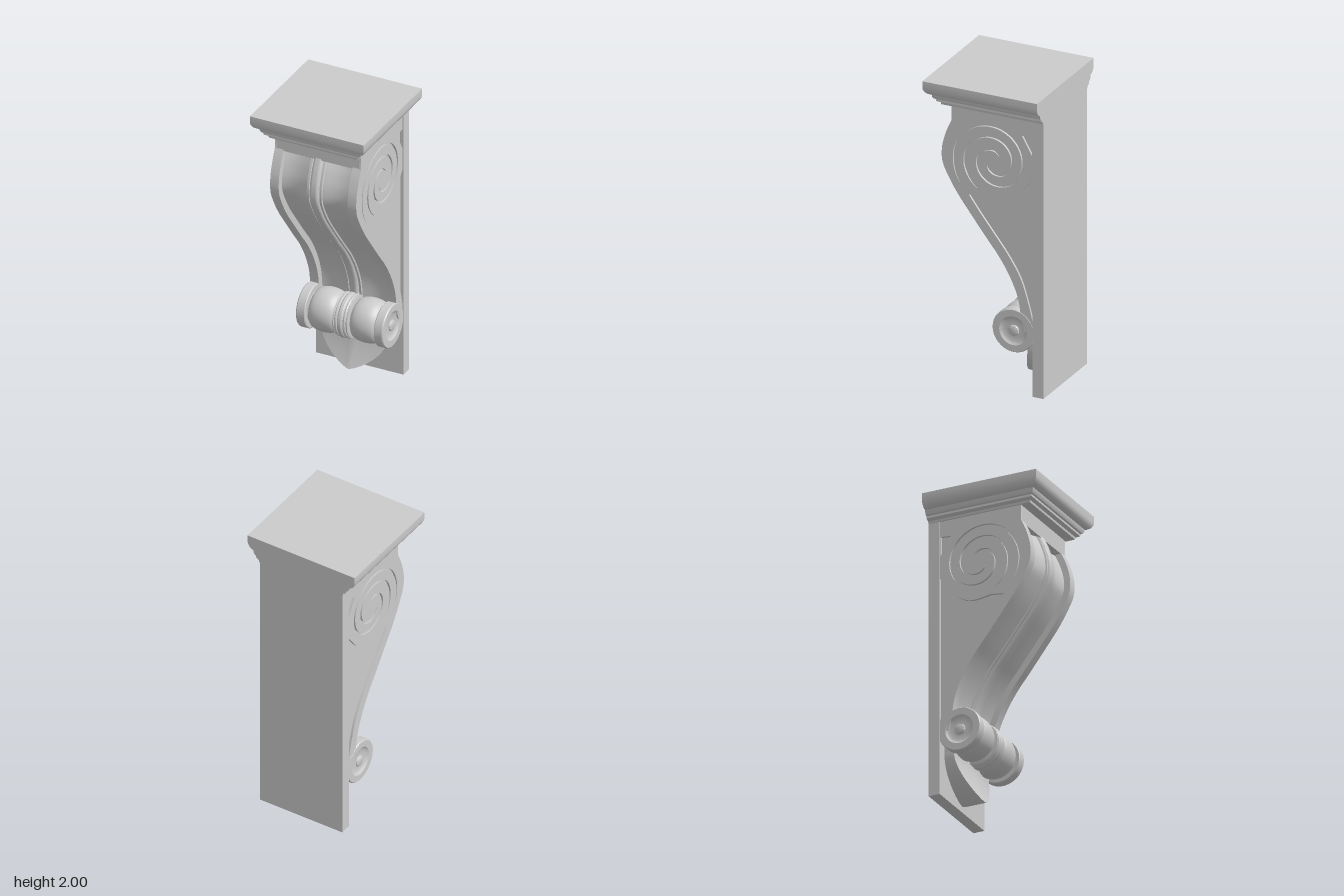
import * as THREE from 'three';
import { toCreasedNormals } from 'three/addons/utils/BufferGeometryUtils.js';

const material = new THREE.MeshStandardMaterial({ color: 0xcccccc });
const BACK = -0.32;

function addMesh(group, name, geometry, crease = 0.6) {
  const mesh = new THREE.Mesh(toCreasedNormals(geometry, crease), material);
  mesh.name = name;
  group.add(mesh);
  return mesh;
}

// Skin through rows of [x, y, z] points; rows run downward, points run from -x to +x
function loft(rows) {
  const n = rows[0].length, index = [];
  for (let i = 0; i < rows.length - 1; i++) {
    for (let j = 0; j < n - 1; j++) {
      const a = i * n + j, b = a + n;
      index.push(a, b, b + 1, a, b + 1, a + 1);
    }
  }
  const geometry = new THREE.BufferGeometry();
  geometry.setAttribute('position', new THREE.Float32BufferAttribute(rows.flat(2), 3));
  geometry.setIndex(index);
  return geometry;
}

const v2 = ([a, b]) => new THREE.Vector2(a, b);
const spline = (points, n) => new THREE.SplineCurve(points.map(v2)).getPoints(n);

// S-shaped front edge in (z, y)
const frontCurve = new THREE.SplineCurve([
  [0.24, 1.73], [0.275, 1.65], [0.302, 1.55], [0.3, 1.45], [0.255, 1.35], [0.19, 1.245],
  [0.1, 1.125], [0, 0.995], [-0.09, 0.88], [-0.165, 0.755], [-0.215, 0.63], [-0.235, 0.5],
].map(v2));

// Depth of the front across x: flat borders, hollow panels, central bead
function frontDepth(x) {
  const a = Math.abs(x);
  if (a >= 0.236) return 0;
  if (a <= 0.03) return -0.012 + 0.015 * Math.sqrt(1 - (a / 0.03) ** 2);
  if (a <= 0.034) return -0.026;
  if (a <= 0.05) return -0.012;
  const t = (a - 0.052) / 0.183;
  return -0.022 - 0.026 * Math.sin(Math.PI * Math.min(1, Math.max(0, t)) * 0.75);
}

function bodyGeometry() {
  const half = [0, 0.01, 0.02, 0.027, 0.03, 0.034, 0.036, 0.05, 0.053, 0.08, 0.11, 0.14, 0.17, 0.2, 0.22, 0.234, 0.236, 0.28];
  const xs = [...half.slice(1).reverse().map((x) => -x), ...half];
  const rows = [];
  for (let i = 0; i <= 60; i++) {
    const p = frontCurve.getPoint(i / 60), t = frontCurve.getTangent(i / 60);
    const row = xs.map((x) => {
      const d = frontDepth(x);
      return [x, p.y + t.x * d, p.x - t.y * d];
    });
    rows.push([[-0.28, p.y, BACK], ...row, [0.28, p.y, BACK]]);
  }
  return loft(rows);
}

// Narrow tapered spiral slot, angles in degrees
function spiralSlot(from, to, r0, slope) {
  const inner = [], outer = [], steps = 70;
  for (let i = 0; i <= steps; i++) {
    const deg = from + ((to - from) * i) / steps, a = THREE.MathUtils.degToRad(deg);
    const r = r0 - slope * deg;
    const w = 0.001 + 0.006 * Math.min(1, 8 * Math.min(i, steps - i) / steps);
    const at = (q) => new THREE.Vector2(-0.05 + q * Math.cos(a), 1.51 + q * Math.sin(a));
    outer.push(at(r + w));
    inner.push(at(r - w));
  }
  return new THREE.Path([...outer, ...inner.reverse()]);
}

// Side facing with scroll slots, corner triangle and sunken lower panel
function sideGeometry() {
  const shape = new THREE.Shape([
    v2([0.24, 1.835]),
    ...frontCurve.getPoints(60),
    v2([-0.26, 0.42]), v2([-0.318, 0.42]),
    ...spline([[-0.314, 0.49], [-0.287, 0.6], [-0.235, 0.76], [-0.16, 0.89], [-0.07, 1.01], [0.04, 1.15], [0.12, 1.26]], 30),
    ...spline([[0.03, 1.272], [-0.07, 1.258], [-0.14, 1.27], [-0.22, 1.325], [-0.315, 1.45]], 20),
    v2([-0.318, 1.835]),
  ]);
  shape.holes.push(
    spiralSlot(-38, 490, 0.275, 0.00045),
    spiralSlot(-60, 330, 0.2, 0.00044),
    new THREE.Path([[-0.24, 1.722], [-0.31, 1.728], [-0.31, 1.6]].map(v2)),
  );
  return new THREE.ExtrudeGeometry(shape, { depth: 0.015, bevelEnabled: false }).rotateY(-Math.PI / 2);
}

// Moulded cap, mitred at the front corners and flat at the back
function capGeometry() {
  const profile = [
    [0.39, 2], [0.39, 1.955], [0.386, 1.937], [0.376, 1.92], [0.362, 1.909], [0.348, 1.904],
    [0.345, 1.888], [0.338, 1.875], [0.328, 1.87], [0.328, 1.856], [0.318, 1.85], [0.306, 1.845], [0.304, 1.83],
  ];
  const ring = ([r, y]) => [[-r, y, -0.39], [-r, y, r], [r, y, r], [r, y, -0.39], [-r, y, -0.39]];
  const centre = (y) => Array(5).fill([0, y, 0]);
  return loft([centre(2), ...profile.map(ring), centre(1.83)]);
}

// Turned roll: end discs with bosses, two barrels, central rings
function rollGeometry() {
  const half = [];
  for (const [r, x] of [[0.145, 0], [0.145, 0.009], [0.14, 0.016], [0.133, 0.019], [0.14, 0.023], [0.142, 0.031],
    [0.138, 0.037], [0.13, 0.039], [0.136, 0.043], [0.136, 0.05], [0.118, 0.053]]) half.push([r, x]);
  for (let i = 0; i <= 14; i++) {
    const u = (i / 14) * 2 - 1;
    half.push([0.105 + 0.037 * Math.sqrt(1 - u * u), 0.142 + 0.088 * u]);
  }
  half.push([0.105, 0.236], [0.138, 0.236], [0.143, 0.241], [0.143, 0.29], [0.138, 0.297], [0.095, 0.297],
    [0.085, 0.29], [0.075, 0.284], [0.036, 0.286], [0.033, 0.294], [0.025, 0.298], [0, 0.298]);
  const points = [...half.slice(1).reverse().map(([r, x]) => [r, -x]), ...half].map(v2);
  return new THREE.LatheGeometry(points, 56).rotateZ(-Math.PI / 2);
}

// Rounded tongue below the roll, flaring forward with a soft centre ridge
function tongueGeometry() {
  const rows = [];
  const addRow = (y, w) => {
    const s = Math.min(1, Math.max(0, (0.29 - y) / 0.25));
    const z = -0.228 + 0.066 * s ** 1.5;
    const row = [];
    for (let j = -8; j <= 8; j++) {
      const u = Math.abs(j / 8);
      row.push([(w * j) / 8, y, z - 0.022 * u ** 0.8 * (w / 0.235)]);
    }
    rows.push([[-w, y, BACK], ...row, [w, y, BACK]]);
  };
  addRow(0.42, 0.235);
  for (let i = 0; i <= 24; i++) {
    const s = Math.sin((i / 24) * Math.PI / 2);
    addRow(0.29 - 0.25 * s, 0.235 * Math.max(0, 1 - s * s) ** 0.75);
  }
  return loft(rows);
}

export function createModel() {
  const group = new THREE.Group();
  group.name = 'corbel';

  addMesh(group, 'cap', capGeometry(), 0.5);
  addMesh(group, 'backPlate', new THREE.BoxGeometry(0.6, 1.84, 0.075)).position.set(0, 0.92, -0.3525);
  addMesh(group, 'neckBlock', new THREE.BoxGeometry(0.56, 0.115, 0.56)).position.set(0, 1.7775, -0.04);
  addMesh(group, 'scrollBody', bodyGeometry());

  // Facings on both sides
  const side = sideGeometry();
  addMesh(group, 'leftSide', side).position.x = 0.295;
  addMesh(group, 'rightSide', side).position.x = -0.28;

  addMesh(group, 'roll', rollGeometry()).position.set(0, 0.412, -0.182);
  addMesh(group, 'tongue', tongueGeometry());
  return group;
}
